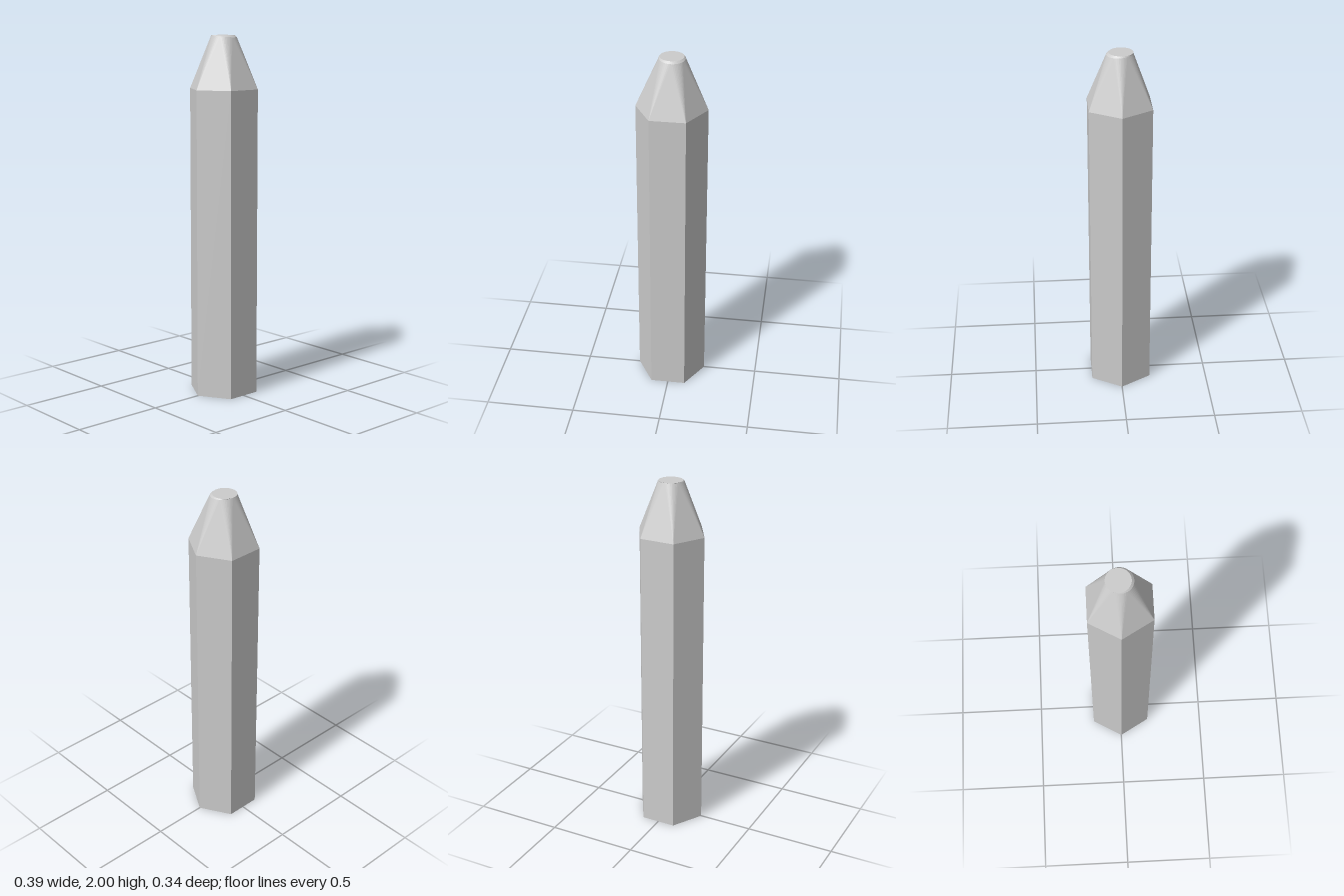
import * as THREE from 'three';

const SEGMENTS = 48;
const SHAFT_TOP = 1.71;

// Points of a horizontal circle or polygon; heightAt gives y for each angle
function ring(count, radius, cx, cz, heightAt) {
  return Array.from({ length: count }, (_, i) => {
    const a = (i / count) * Math.PI * 2;
    return new THREE.Vector3(cx + radius * Math.cos(a), heightAt(a), cz + radius * Math.sin(a));
  });
}

function meshFrom(name, points, material) {
  const geometry = new THREE.BufferGeometry().setFromPoints(points);
  geometry.computeVertexNormals();
  const mesh = new THREE.Mesh(geometry, material);
  mesh.name = name;
  return mesh;
}

// Wall between two rings with the same number of points
function wall(lower, upper) {
  const points = [];
  lower.forEach((p, i) => {
    const j = (i + 1) % lower.length;
    points.push(p, upper[i], lower[j], lower[j], upper[i], upper[j]);
  });
  return points;
}

// Flat lid over a ring, facing up or down
function lid(outline, up) {
  const points = [];
  for (let i = 1; i < outline.length - 1; i++) {
    points.push(outline[0], ...(up ? [outline[i + 1], outline[i]] : [outline[i], outline[i + 1]]));
  }
  return points;
}

// Loft from a polygon to a circle: a fan at each corner, one triangle on each side
function cornerLoft(polygon, circle) {
  const points = [];
  const sides = polygon.length;
  const step = circle.length / sides;
  circle.forEach((p, i) => {
    const k = Math.round((i + 0.5) / step) % sides;
    points.push(polygon[k], p, circle[(i + 1) % circle.length]);
  });
  polygon.forEach((corner, k) => {
    points.push(corner, circle[k * step + step / 2], polygon[(k + 1) % sides]);
  });
  return points;
}

export function createModel() {
  const model = new THREE.Group();
  model.name = 'hexagonalPunch';
  const material = new THREE.MeshStandardMaterial({ color: 0xcccccc, flatShading: true });

  const base = ring(6, 0.195, 0, 0, () => 0);
  const shoulder = ring(6, 0.195, 0, 0, () => SHAFT_TOP);
  // The rim dips slightly on one side, leaving a crescent bevel below the tip
  const rim = ring(SEGMENTS, 0.07, 0.002, 0, (a) => 1.994 - 0.005 * Math.cos(a - 1.2));
  const tip = ring(SEGMENTS, 0.065, 0, -0.0075, () => 2);

  model.add(
    meshFrom('shaft', wall(base, shoulder), material),
    meshFrom('shaftBase', lid(base, false), material),
    meshFrom('taper', cornerLoft(shoulder, rim), material),
    meshFrom('tipBevel', wall(rim, tip), material),
    meshFrom('tipFace', lid(tip, true), material),
  );
  return model;
}
